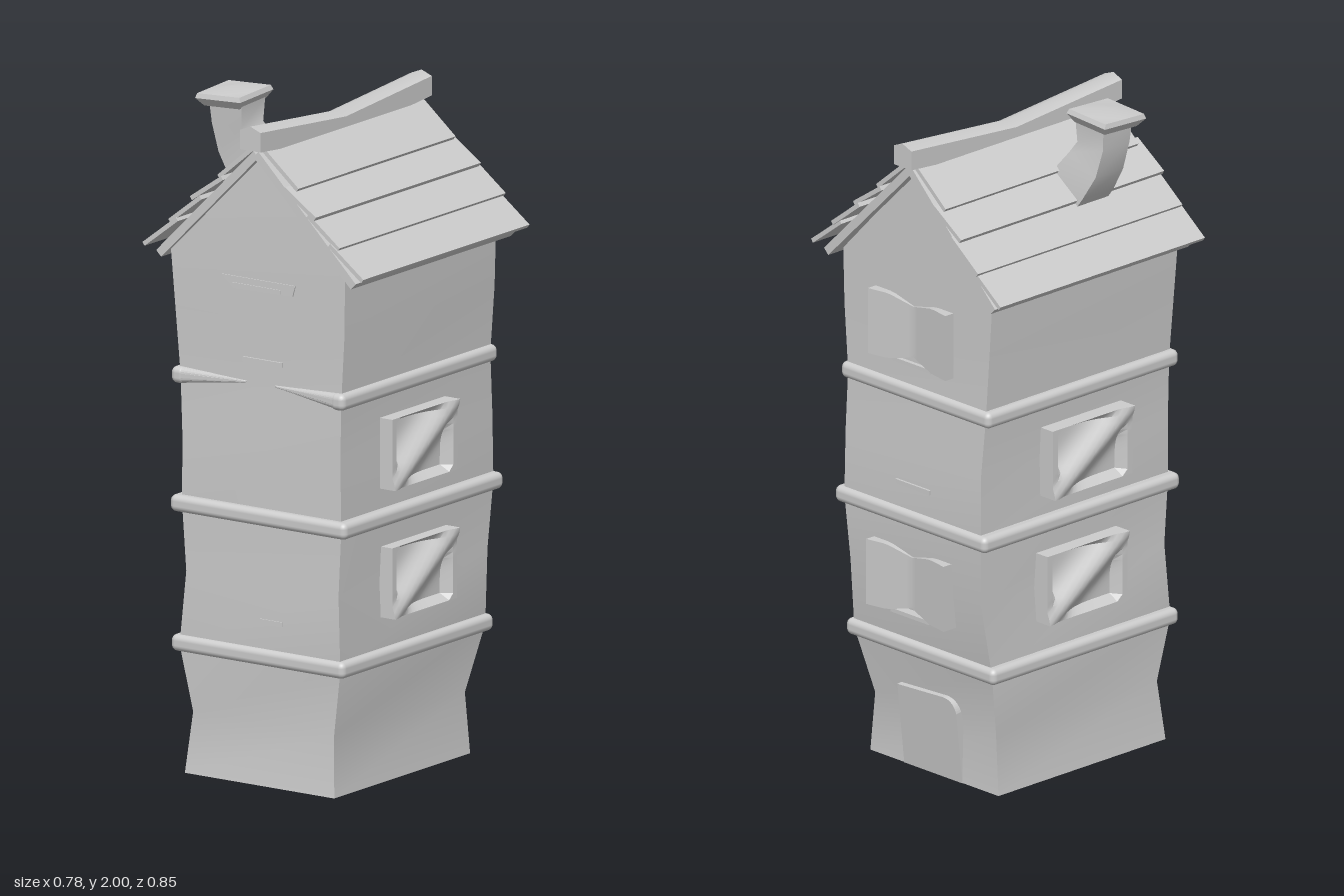
import * as THREE from 'three';
import { RoundedBoxGeometry } from 'three/addons/geometries/RoundedBoxGeometry.js';
import { toCreasedNormals } from 'three/addons/utils/BufferGeometryUtils.js';

const stone = new THREE.MeshStandardMaterial({ color: 0xcccccc });
stone.name = 'plain grey';

// Wall levels: y, x min, x max, z min, z max
const LEVELS = [
  [0, -0.27, 0.26, -0.30, 0.37], [0.18, -0.255, 0.245, -0.295, 0.35],
  [0.38, -0.285, 0.285, -0.34, 0.375], [0.6, -0.265, 0.275, -0.365, 0.37],
  [0.8, -0.28, 0.285, -0.38, 0.37], [1.0, -0.275, 0.285, -0.375, 0.375],
  [1.18, -0.285, 0.285, -0.365, 0.37], [1.38, -0.3, 0.3, -0.365, 0.375],
  [1.55, -0.312, 0.305, -0.365, 0.38],
];

export function createModel() {
  const model = new THREE.Group();
  model.name = 'crookedTower';

  const add = (name, geo, x = 0, y = 0, z = 0, rx = 0, ry = 0, rz = 0) => {
    const m = new THREE.Mesh(geo, stone);
    m.name = name;
    m.position.set(x, y, z);
    m.rotation.set(rx, ry, rz);
    model.add(m);
    return m;
  };

  // Move each vertex of a geometry by a rule
  const warp = (geo, rule) => {
    const p = geo.attributes.position;
    const v = new THREE.Vector3();
    for (let i = 0; i < p.count; i++) {
      rule(v.fromBufferAttribute(p, i));
      p.setXYZ(i, v.x, v.y, v.z);
    }
    geo.computeVertexNormals();
    return geo;
  };

  // Sagging walls with gables and a closed floor
  const corners = ([y, x0, x1, z0, z1]) => [[x0, y, z1], [x1, y, z1], [x1, y, z0], [x0, y, z0]];
  const tri = [];
  const face = (...pts) => {
    for (let i = 1; i < pts.length - 1; i++) tri.push(...pts[0], ...pts[i], ...pts[i + 1]);
  };
  for (let i = 0; i < LEVELS.length - 1; i++) {
    const a = corners(LEVELS[i]), b = corners(LEVELS[i + 1]);
    for (let k = 0; k < 4; k++) {
      const n = (k + 1) % 4;
      face(a[k], a[n], b[n], b[k]);
    }
  }
  const top = corners(LEVELS[LEVELS.length - 1]);
  face(top[0], top[1], [0, 1.87, 0.375]);
  face(top[2], top[3], [0, 1.87, -0.365]);
  face(...corners(LEVELS[0]).reverse());
  const walls = new THREE.BufferGeometry();
  walls.setAttribute('position', new THREE.Float32BufferAttribute(tri, 3));
  add('walls', toCreasedNormals(walls, 0.7));

  // Rounded bands between storeys: y and outer extents
  const T = 0.05;
  const bands = [
    [0.385, -0.31, 0.305, -0.36, 0.39], [0.8, -0.31, 0.315, -0.395, 0.395],
    [1.18, -0.31, 0.305, -0.38, 0.39],
  ];
  bands.forEach(([y, x0, x1, z0, z1], i) => {
    const w = x1 - x0, d = z1 - z0, cx = (x0 + x1) / 2, cz = (z0 + z1) / 2;
    const rod = (len) => new RoundedBoxGeometry(len, T, T, 3, 0.018);
    add('bandBack', rod(w), cx, y, z0 + T / 2);
    for (const x of [x0 + T / 2, x1 - T / 2]) {
      add('bandSide', rod(d), x, y, cz, 0, Math.PI / 2);
    }
    if (i < 2) {
      add('bandFront', rod(w), cx, y, z1 - T / 2);
      return;
    }
    // The top front band tapers away into the wall at the middle
    for (const s of [-1, 1]) {
      const half = warp(rod(0.265), (v) => {
        const f = THREE.MathUtils.clamp((s * v.x + 0.135) / 0.1, 0.05, 1);
        v.y = v.y * f + (1 - f) * 0.015;
        v.z -= (1 - f) * 0.02;
      });
      add('bandFrontHalf', half, s * 0.1725, y, z1 - T / 2);
    }
  });

  // Warped windows: depth and outline follow a rule in u, v from -1 to 1
  const windowGeo = (w, h, rule) => toCreasedNormals(warp(new THREE.BoxGeometry(w, h, 0.04, 16, 12, 1), (v) => {
    const u = v.x / (w / 2), t = v.y / (h / 2), r = rule(u, t);
    v.y *= r.squeeze;
    v.z = v.z > 0 ? r.depth : -0.02;
  }), 0.6);
  const diagonal = (u, t) => {
    const rim = Math.max(Math.abs(u), Math.abs(t)) > 0.86 ? 0.75 : 0;
    const brace = Math.exp(-Math.pow((t - u) * 1.9, 2));
    return { squeeze: 1, depth: 0.012 + 0.045 * Math.max(rim, brace) };
  };
  const shutters = (u) => {
    const a = Math.abs(u);
    return { squeeze: 0.78 + 0.22 * Math.min(1, a * 1.8), depth: 0.006 + 0.028 * a };
  };
  for (const s of [-1, 1]) {
    add('sideWindowUpper', windowGeo(0.32, 0.21, diagonal), s * 0.284, 0.99, 0.02, 0, s * Math.PI / 2);
    add('sideWindowLower', windowGeo(0.32, 0.21, diagonal), s * 0.275, 0.605, 0.008, 0, s * Math.PI / 2);
    // Window sills
    for (const y of [0.875, 0.49]) {
      add('sideSill', new THREE.BoxGeometry(0.03, 0.012, 0.18), s * 0.278, y, 0.01);
    }
  }
  for (const [y, z] of [[0.6, -0.37], [1.37, -0.363]]) {
    add('backWindow', windowGeo(0.32, 0.2, shutters), 0.01, y, z, 0, Math.PI);
    add('backSill', new THREE.BoxGeometry(0.16, 0.012, 0.03), 0.01, y - 0.1, z);
  }

  // Leaning back door with a step in its top edge
  const doorShape = new THREE.Shape();
  doorShape.moveTo(-0.12, 0);
  doorShape.lineTo(0.12, 0);
  doorShape.lineTo(0.12, 0.22);
  doorShape.quadraticCurveTo(0.11, 0.265, 0.06, 0.26);
  doorShape.lineTo(-0.12, 0.25);
  const door = new THREE.ExtrudeGeometry(doorShape, { depth: 0.03, bevelEnabled: false });
  add('door', door, 0, 0.002, -0.27, -0.11, Math.PI);

  // Small trims on the front and back walls
  const plate = (w, x, y, z) => add('wallTrim', new THREE.BoxGeometry(w, 0.014, 0.008), x, y, z);
  plate(0.14, 0.01, 1.26, 0.374);
  plate(0.08, 0.04, 0.49, 0.372);
  plate(0.14, 0, 0.9, -0.38);
  const lintel = new THREE.Shape([[-0.13, 0.018], [-0.09, -0.018], [0.12, -0.014], [0.13, 0.018]]
    .map(([x, y]) => new THREE.Vector2(x, y)));
  add('frontLintel', new THREE.ExtrudeGeometry(lintel, { depth: 0.009, bevelEnabled: false }), 0, 1.485, 0.373);
  add('frontLintelSlot', new THREE.BoxGeometry(0.17, 0.012, 0.008), -0.005, 1.478, 0.381);

  // Roof: a base slab and four overlapping planks on each slope
  const slope = (name, s, xa, ya, xb, yb, z0, z1, t) => {
    const len = Math.hypot(xb - xa, yb - ya);
    add(name, new THREE.BoxGeometry(len, t, z1 - z0), s * (xa + xb) / 2, (ya + yb) / 2, (z0 + z1) / 2,
      0, 0, s * Math.atan2(yb - ya, xb - xa));
  };
  const planks = [
    [0.015, 1.895, 0.14, 1.79, -0.39, 0.385], [0.11, 1.795, 0.22, 1.72, -0.405, 0.41],
    [0.19, 1.725, 0.3, 1.64, -0.415, 0.405], [0.27, 1.65, 0.388, 1.56, -0.41, 0.41],
  ];
  for (const s of [-1, 1]) {
    slope('roofSlab', s, 0, 1.878, 0.345, 1.535, -0.395, 0.395, 0.025);
    for (const p of planks) slope('roofPlank', s, ...p, 0.013);
  }

  // Sagging ridge beam
  const ridge = warp(new THREE.BoxGeometry(0.072, 0.072, 0.845, 2, 2, 2), (v) => {
    if (v.y > 0 && Math.abs(v.x) > 0.03) v.y -= 0.014;
    v.y += 0.035 * Math.abs(v.z) / 0.42 - 0.035;
  });
  add('ridgeBeam', toCreasedNormals(ridge, 0.9), 0, 1.93, 0);

  // Bent chimney stem lofted through square sections: centre x, y, z, half size
  const stemRows = [[-0.13, 1.69, 0.12, 0.062], [-0.18, 1.76, 0.125, 0.062],
    [-0.225, 1.83, 0.135, 0.055], [-0.245, 1.89, 0.145, 0.053], [-0.245, 1.96, 0.147, 0.058]];
  const stem = warp(new THREE.BoxGeometry(2, 4, 2, 1, 4, 1), (v) => {
    const [x, y, z, h] = stemRows[Math.round(v.y + 2)];
    const tilt = v.y < 1 ? 0.45 : 0;
    v.set(x + v.x * h, y + v.x * h * tilt, z + v.z * h);
  });
  add('chimneyStem', toCreasedNormals(stem, 0.8));

  // Flared chimney cap with a low crown
  const cap = warp(new THREE.BoxGeometry(0.16, 0.05, 0.165, 2, 2, 2), (v) => {
    if (v.y < -0.01) { v.x *= 0.78; v.z *= 0.78; }
    if (v.y > 0.01) {
      const edge = Math.max(Math.abs(v.x), Math.abs(v.z)) > 0.05;
      v.y = edge ? 0.014 : 0.024;
      if (edge) { v.x *= 0.94; v.z *= 0.94; }
    }
  });
  add('chimneyCap', toCreasedNormals(cap, 0.5), -0.255, 1.972, 0.147, 0.05, 0, 0.05);

  return model;
}
